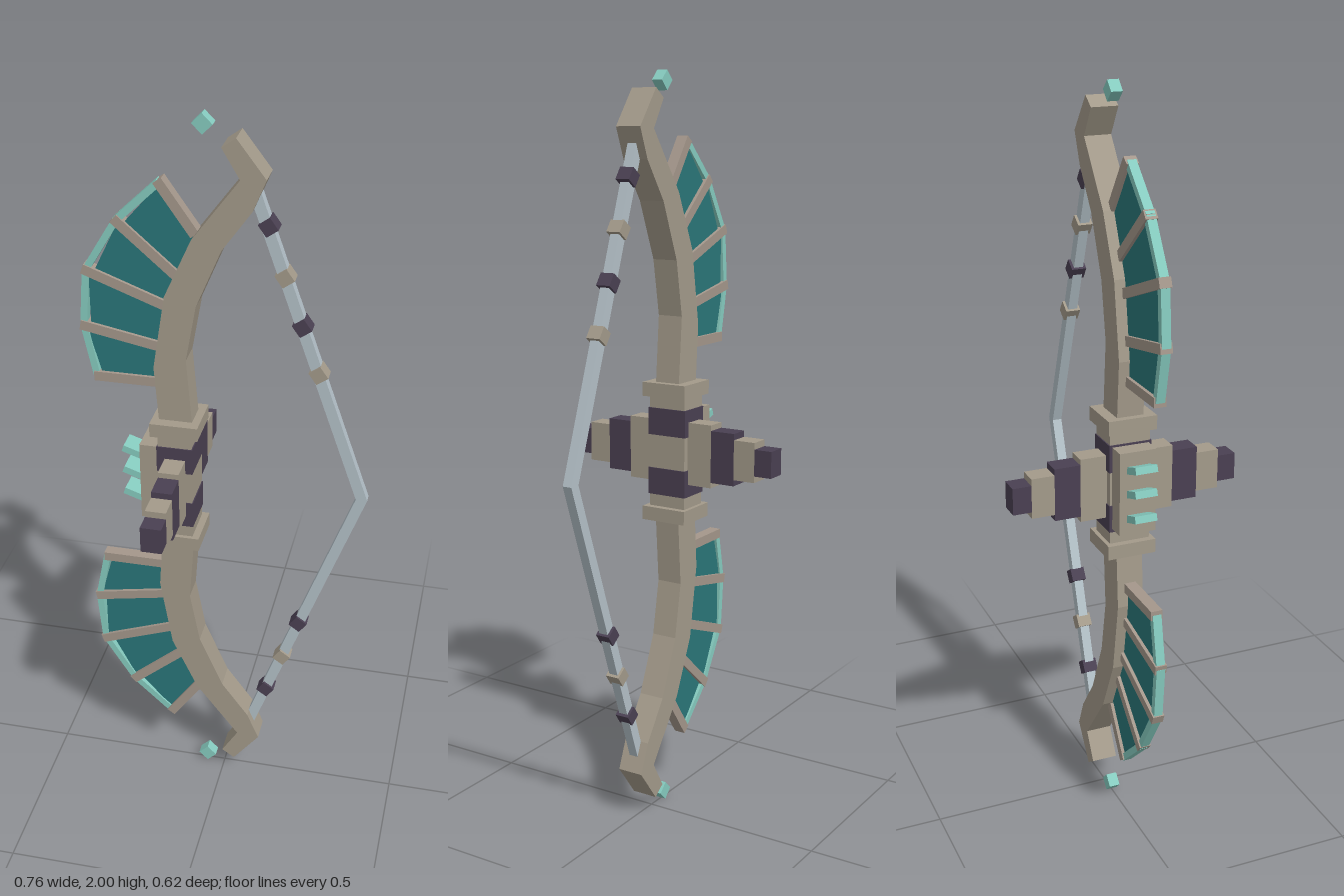
import * as THREE from 'three';

const flat = (name, color) => {
  const m = new THREE.MeshStandardMaterial({ color });
  m.name = name;
  return m;
};

export function createModel() {
  const bone = flat('bone', 0xa39a8a);
  const rib = flat('rib', 0xa4978b);
  const dark = flat('darkWrap', 0x4a4052);
  const teal = flat('membrane', 0x2a7679);
  const mint = flat('mint', 0x86cbbf);
  const cord = flat('cord', 0xb4c1c8);

  const model = new THREE.Group();
  model.name = 'bow';

  const add = (name, geo, mat, x = 0, y = 0, z = 0, rot = 0, parent = model) => {
    const m = new THREE.Mesh(geo, mat);
    m.name = name;
    m.position.set(x, y, z);
    m.rotation.z = rot;
    parent.add(m);
    return m;
  };
  // box given by its limits
  const block = (name, mat, x0, x1, y0, y1, z0, z1) =>
    add(name, new THREE.BoxGeometry(x1 - x0, y1 - y0, z1 - z0), mat,
      (x0 + x1) / 2, (y0 + y1) / 2, (z0 + z1) / 2);
  // flat outline extruded evenly about z = 0
  const slab = (name, pts, depth, mat, parent) => {
    const shape = new THREE.Shape(pts.map(p => new THREE.Vector2(p[0], p[1])));
    const geo = new THREE.ExtrudeGeometry(shape, { depth, bevelEnabled: false });
    geo.translate(0, 0, -depth / 2);
    return add(name, geo, mat, 0, 0, 0, 0, parent);
  };
  // straight bar between two points
  const bar = (name, a, b, width, depth, mat, parent) =>
    add(name, new THREE.BoxGeometry(Math.hypot(b[0] - a[0], b[1] - a[1]), width, depth), mat,
      (a[0] + b[0]) / 2, (a[1] + b[1]) / 2, 0, Math.atan2(b[1] - a[1], b[0] - a[0]), parent);

  // outline of the upper limb
  const limb = [
    [0, 1.93], [0.045, 1.855], [-0.075, 1.695], [-0.145, 1.54], [-0.177, 1.34], [-0.165, 1.17],
    [-0.077, 1.17], [-0.092, 1.37], [-0.065, 1.52], [0, 1.675], [0.075, 1.78], [0.108, 1.86], [0.035, 1.955],
  ];
  // fan ribs: outer end, inner end
  const ribs = [
    [[-0.161, 1.83], [-0.07, 1.7]],
    [[-0.274, 1.725], [-0.12, 1.59]],
    [[-0.36, 1.585], [-0.148, 1.505]],
    [[-0.372, 1.43], [-0.165, 1.39]],
    [[-0.342, 1.287], [-0.17, 1.287]],
  ];
  const along = ([o, i], t) => [i[0] + (o[0] - i[0]) * t, i[1] + (o[1] - i[1]) * t];

  for (const s of [1, -1]) {
    const half = new THREE.Group();
    half.name = s > 0 ? 'upperHalf' : 'lowerHalf';
    model.add(half);
    const flip = p => [p[0], 1 + s * (p[1] - 1)];

    slab('limb', limb.map(flip), 0.072, bone, half);

    // fan of ribs, membrane panels and outer edging
    const fan = ribs.map(r => r.map(flip));
    fan.forEach((r, i) => {
      bar('fanRib', r[0], r[1], 0.026, 0.032, rib, half);
      const next = fan[i + 1];
      if (!next) return;
      slab('fanPanel', [along(r, 0), along(r, 0.93), along(next, 0.87), along(next, 0)], 0.014, teal, half);
      bar('fanEdge', along(r, 0.96), along(next, 0.96), 0.018, 0.024, mint, half);
    });

    // floating diamond beyond the tip
    const tip = flip([-0.05, 1.975]);
    add('tipGem', new THREE.BoxGeometry(0.036, 0.036, 0.03), mint, tip[0], tip[1], 0, Math.PI / 4, half);

    // collar between limb and grip
    const c = 1 + s * 0.172;
    block('collar', bone, -0.185, -0.058, c - 0.019, c + 0.019, -0.066, 0.066);
    // dark wrap on the grip
    const w = 1 + s * 0.083;
    block('gripWrap', dark, -0.17, -0.074, w - 0.037, w + 0.037, -0.058, 0.058);

    // stepped spike to the front and to the back
    [[0.05, 0.128, 0.086, bone], [0.128, 0.198, 0.071, dark],
     [0.198, 0.26, 0.054, bone], [0.26, 0.31, 0.036, dark]].forEach(([z0, z1, h, mat]) =>
      block('spikeStep', mat, -0.148, -0.093, 1 - h, 1 + h, Math.min(s * z0, s * z1), Math.max(s * z0, s * z1)));
  }

  // grip and its back plate with three small barbs
  block('grip', bone, -0.167, -0.077, 0.83, 1.17, -0.055, 0.055);
  block('backPlate', bone, -0.218, -0.16, 0.89, 1.115, -0.05, 0.05);
  for (const y of [1.075, 1.01, 0.942])
    add('barb', new THREE.BoxGeometry(0.064, 0.019, 0.06), mint, -0.24, y, 0, -0.33);

  // drawn string
  slab('string', [[0.063, 1.812], [0.09, 1.822], [0.383, 1], [0.09, 0.178], [0.063, 0.188], [0.353, 1]], 0.026, cord);

  // beads on the string
  [[0.11, 1.737, dark], [0.152, 1.61, bone], [0.198, 1.482, dark], [0.243, 1.356, bone],
   [0.212, 0.567, dark], [0.168, 0.44, bone], [0.123, 0.313, dark]].forEach(([x, y, mat]) =>
    add('stringBead', new THREE.BoxGeometry(0.036, 0.036, 0.04), mat, x, y, 0, y > 1 ? 0.62 : -0.62));

  return model;
}
